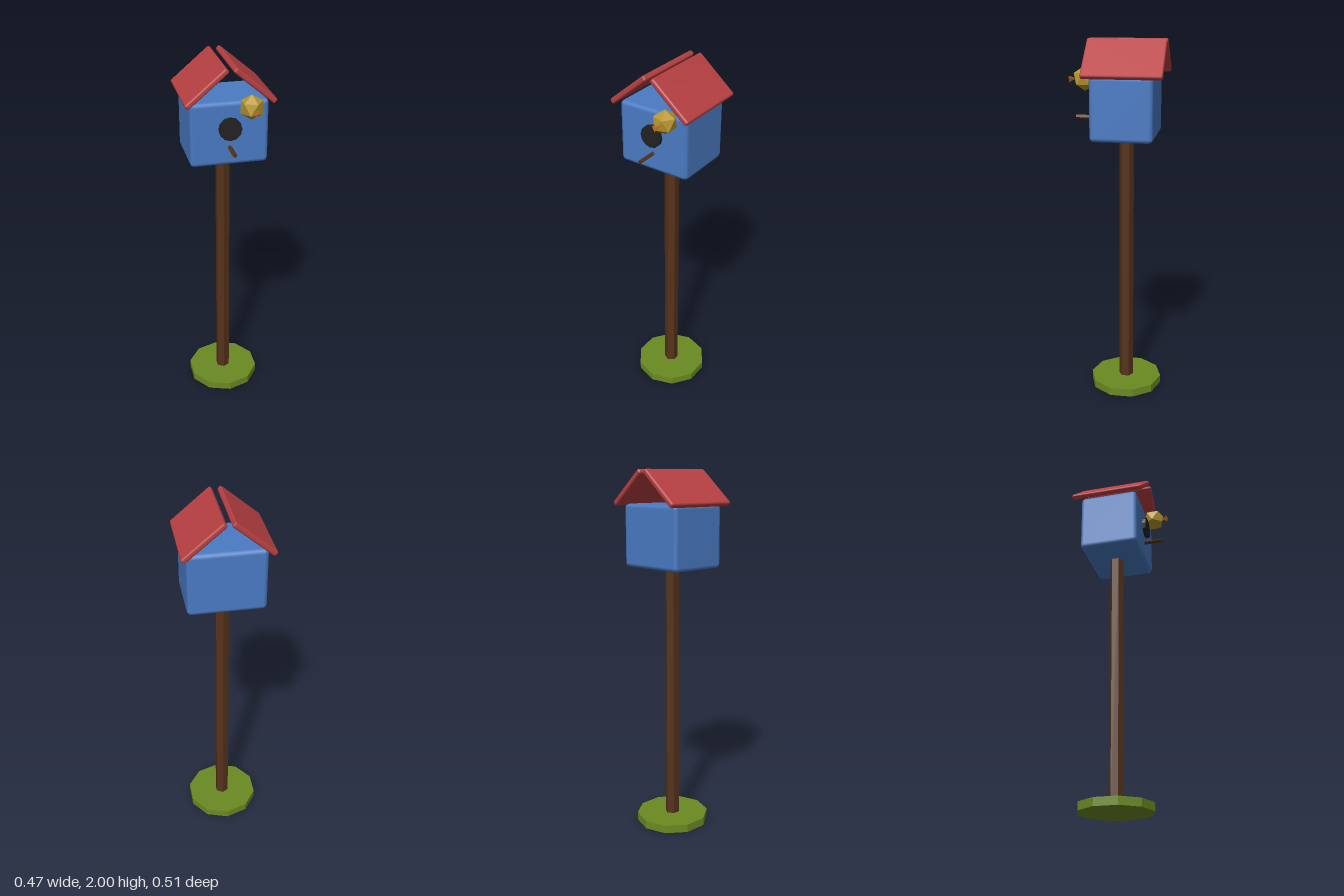
import * as THREE from 'three';
import { RoundedBoxGeometry } from 'three/addons/geometries/RoundedBoxGeometry.js';

const AXIS_Z = -0.04; // the post, base and house share this centre line

export function createModel() {
  const group = new THREE.Group();

  const add = (name, geometry, color, x, y, z, flat = true) => {
    const material = new THREE.MeshStandardMaterial({ color, flatShading: flat });
    const mesh = new THREE.Mesh(geometry, material);
    mesh.name = name;
    mesh.position.set(x, y, z);
    group.add(mesh);
    return mesh;
  };

  // Grassy base and hexagonal post
  add('base', new THREE.CylinderGeometry(0.205, 0.205, 0.045, 10), 0x6b8a22, 0, 0.0225, AXIS_Z);
  add('post', new THREE.CylinderGeometry(0.04, 0.04, 1.498, 6), 0x55321a, 0, 0.751, AXIS_Z);

  // House with softened edges
  add('house', new RoundedBoxGeometry(0.41, 0.34, 0.335, 1, 0.022), 0x4a7bc4, 0, 1.65, -0.0375, false);

  // Two sloping roof panels with a gap at the ridge
  for (const [name, side] of [['leftRoofPanel', 1], ['rightRoofPanel', -1]]) {
    const panel = add(name, new RoundedBoxGeometry(0.275, 0.03, 0.425, 1, 0.01), 0xb84042,
      side * 0.123, 1.905, -0.0425, false);
    panel.rotation.z = -side * THREE.MathUtils.degToRad(40);
  }

  // Entrance disc and perch
  const disc = new THREE.CylinderGeometry(0.06, 0.06, 0.04, 12).rotateX(Math.PI / 2);
  add('entranceHole', disc, 0x222222, 0, 1.682, 0.13);
  const perch = new THREE.CylinderGeometry(0.0125, 0.0125, 0.14, 4).rotateX(Math.PI / 2);
  add('perch', perch, 0x55321a, 0, 1.58, 0.17);

  // Bird: icosahedron standing on a vertex, beak tapering towards the body
  const body = new THREE.IcosahedronGeometry(0.065, 0);
  body.rotateZ(-Math.atan(2 / (1 + Math.sqrt(5)))); // brings a vertex to the top
  add('birdBody', body, 0xb8962e, 0.102, 1.8, 0.167);
  const beak = new THREE.ConeGeometry(0.02, 0.038, 3).rotateY(Math.PI).rotateX(-Math.PI / 2);
  add('birdBeak', beak, 0xc8702a, 0.102, 1.798, 0.232);

  return group;
}
